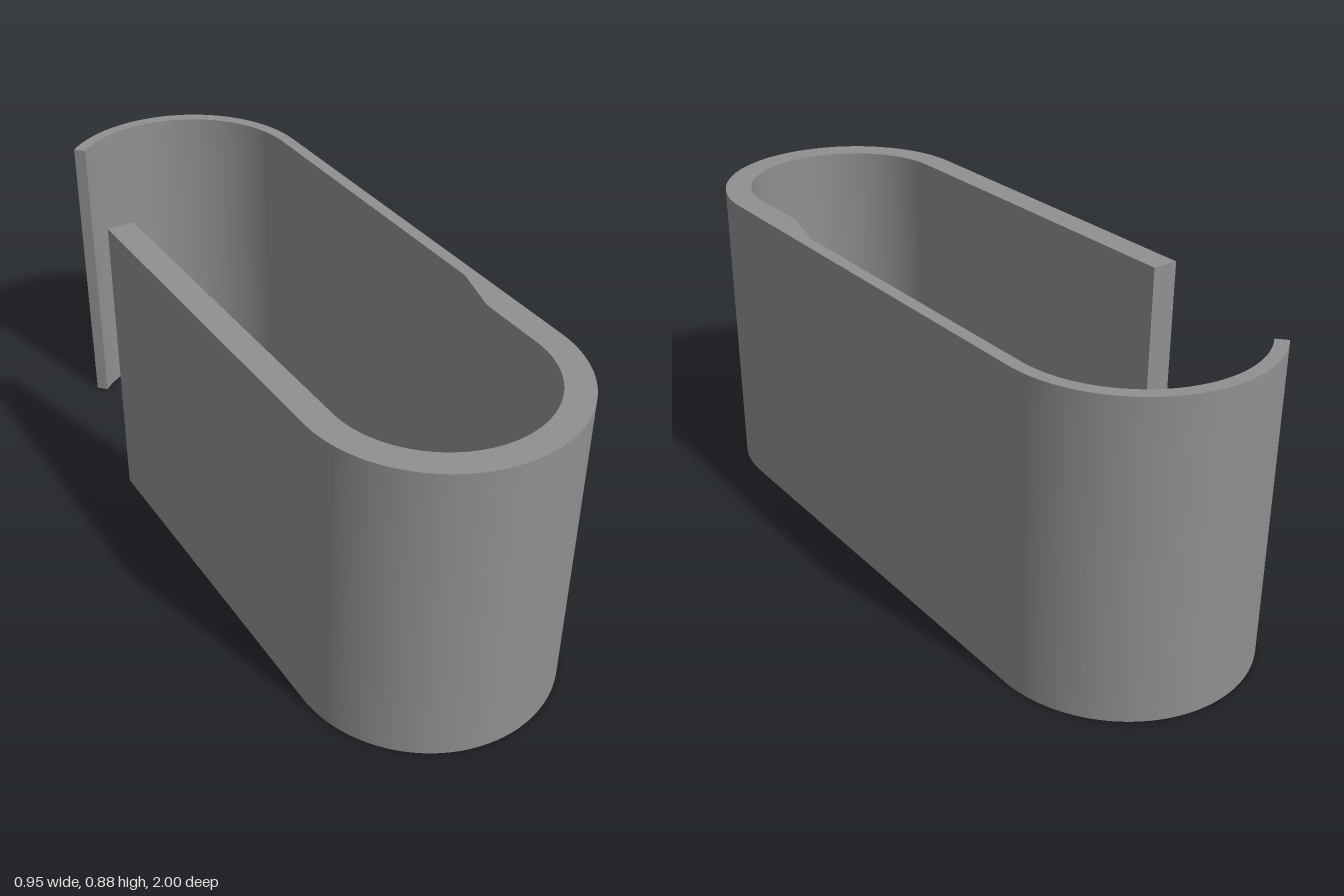
import * as THREE from 'three';
import { toCreasedNormals } from 'three/addons/utils/BufferGeometryUtils.js';

const R = 0.365;            // outer radius of both bends
const THICK = 0.076;        // wall of the straight arm and front bend
const THIN = 0.036;         // wall of the long side and rear hook
const L = 0.645;            // distance from the middle to each bend centre
const HEIGHT = 0.88;
const TILT = THREE.MathUtils.degToRad(10);
const HOOK_END = THREE.MathUtils.degToRad(132);
const ARM_END = 0.404;

// Outline of the hook, upright before tilting
function hookProfile() {
  const thickR = R - THICK, thinR = R - THIN;
  const s = new THREE.Shape();
  // outer edge: arm, front bend, long side, rear hook
  s.moveTo(-R, ARM_END);
  s.lineTo(-R, -L);
  s.absarc(0, -L, R, Math.PI, Math.PI * 2, false);
  s.lineTo(R, L);
  s.absarc(0, L, R, 0, HOOK_END, false);
  // inner edge back again, with the step from thin to thick wall
  s.lineTo(thinR * Math.cos(HOOK_END), L + thinR * Math.sin(HOOK_END));
  s.absarc(0, L, thinR, HOOK_END, 0, true);
  s.lineTo(thinR, -0.298);
  s.lineTo(thickR, -0.447);
  s.lineTo(thickR, -L);
  s.absarc(0, -L, thickR, 0, -Math.PI, true);
  s.lineTo(-thickR, ARM_END);
  s.closePath();
  return s;
}

export function createModel() {
  const grey = new THREE.MeshStandardMaterial({ color: 0x909090 });
  grey.name = 'grey';

  // Extrude the outline upwards and lean it in plan
  const geometry = new THREE.ExtrudeGeometry(hookProfile(), {
    depth: HEIGHT, bevelEnabled: false, curveSegments: 64,
  });
  geometry.rotateZ(-TILT);
  geometry.rotateX(-Math.PI / 2);

  const hook = new THREE.Mesh(toCreasedNormals(geometry, 0.15), grey);
  hook.name = 'hookBand';

  const group = new THREE.Group();
  group.name = 'sHook';
  group.add(hook);
  return group;
}
